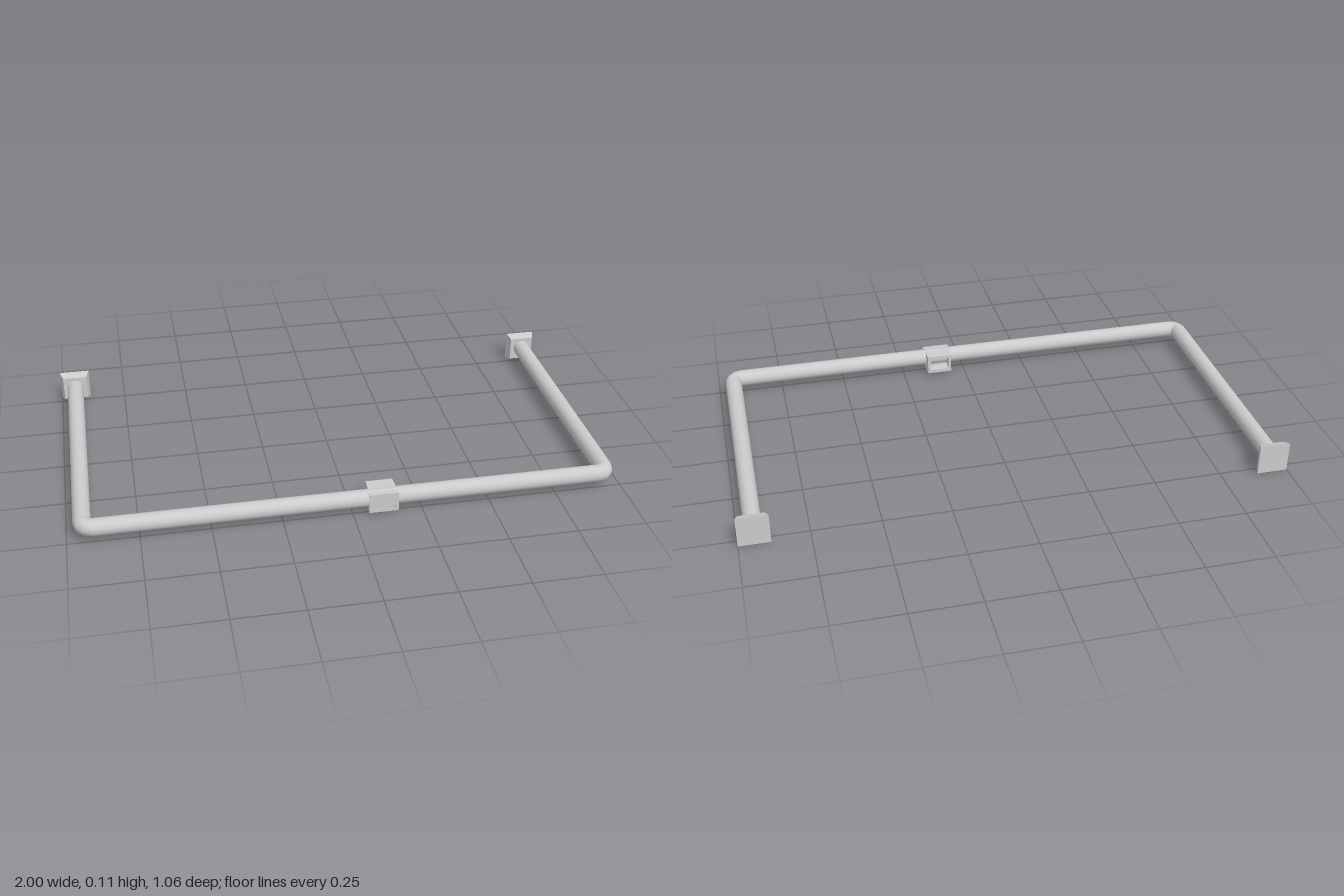
import * as THREE from 'three';

const material = new THREE.MeshStandardMaterial({ color: 0xcccccc });
const Y = 0.059, R = 0.0315, LEG_X = 0.943, FRONT_Z = 0.498, BACK_Z = -0.531;

function add(parent, geometry, name) {
  const mesh = new THREE.Mesh(geometry, material);
  mesh.name = name;
  parent.add(mesh);
  return mesh;
}

// Rail: circular rings carried along a U with tight bends
function railGeometry() {
  const sides = 24, bend = 0.034, steps = 3;
  const stations = [[LEG_X, -0.515, 0]]; // x, z, heading angle
  for (const s of [1, -1]) {
    for (let i = 0; i <= steps; i++) {
      const t = (i / steps) * Math.PI / 2;
      const a = s > 0 ? t : Math.PI / 2 + t;
      stations.push([
        s * (LEG_X - bend) + bend * Math.cos(a),
        FRONT_Z - bend + bend * Math.sin(a), a]);
    }
  }
  stations.push([-LEG_X, -0.515, Math.PI]);
  const positions = [], index = [];
  stations.forEach(([x, z, a], k) => {
    for (let j = 0; j <= sides; j++) {
      const b = (j / sides) * Math.PI * 2, out = R * Math.cos(b);
      positions.push(x + out * Math.cos(a), Y + R * Math.sin(b), z + out * Math.sin(a));
      if (k && j < sides) {
        const p = (k - 1) * (sides + 1) + j, q = p + sides + 1;
        index.push(p, p + 1, q, q, p + 1, q + 1);
      }
    }
  });
  const g = new THREE.BufferGeometry();
  g.setAttribute('position', new THREE.Float32BufferAttribute(positions, 3));
  g.setIndex(index);
  g.computeVertexNormals();
  // Share normals across the seam of each ring
  const n = g.attributes.normal;
  for (let k = 0; k < stations.length; k++) {
    const p = k * (sides + 1), q = p + sides;
    const v = new THREE.Vector3().fromBufferAttribute(n, p)
      .add(new THREE.Vector3().fromBufferAttribute(n, q)).normalize();
    n.setXYZ(p, v.x, v.y, v.z);
    n.setXYZ(q, v.x, v.y, v.z);
  }
  return g;
}

// Square wall plate, wide at the wall and tapering towards the rail
function plateGeometry() {
  const depth = 0.033, scale = 0.046 / 0.057;
  const g = new THREE.BoxGeometry(0.114, 0.114, depth);
  const p = g.attributes.position;
  for (let i = 0; i < p.count; i++) {
    if (p.getZ(i) > 0) p.setXY(i, p.getX(i) * scale, p.getY(i) * scale);
  }
  g.computeVertexNormals();
  return g.translate(0, 0.057, BACK_Z + depth / 2);
}

// Square socket, hollow towards the back and slightly narrower there
function socketGeometry() {
  const w = 0.053, h = 0.037, wall = 0.013, depth = 0.093;
  const rect = (C, a, b) => new C([[-a, -b], [a, -b], [a, b], [-a, b]]
    .map(([x, y]) => new THREE.Vector2(x, y)));
  const shape = rect(THREE.Shape, w, h);
  shape.holes.push(rect(THREE.Path, w - wall, h - wall));
  const g = new THREE.ExtrudeGeometry(shape, { depth, bevelEnabled: false });
  const p = g.attributes.position;
  for (let i = 0; i < p.count; i++) {
    if (p.getZ(i) < depth / 2) p.setX(i, p.getX(i) * 0.91);
  }
  g.computeVertexNormals();
  return g;
}

export function createModel() {
  const group = new THREE.Group();
  group.name = 'cornerRail';
  add(group, railGeometry(), 'rail');
  for (const s of [1, -1]) {
    add(group, plateGeometry(), s > 0 ? 'leftWallPlate' : 'rightWallPlate').position.x = s * LEG_X;
  }

  // Support bracket clasping the front run
  const bracket = new THREE.Group();
  bracket.name = 'supportBracket';
  bracket.position.set(0.107, 0.051, 0.437);
  add(bracket, socketGeometry(), 'socket');
  add(bracket, new THREE.BoxGeometry(0.1, 0.07, 0.05), 'socketFloor').position.z = 0.067;
  group.add(bracket);
  return group;
}
